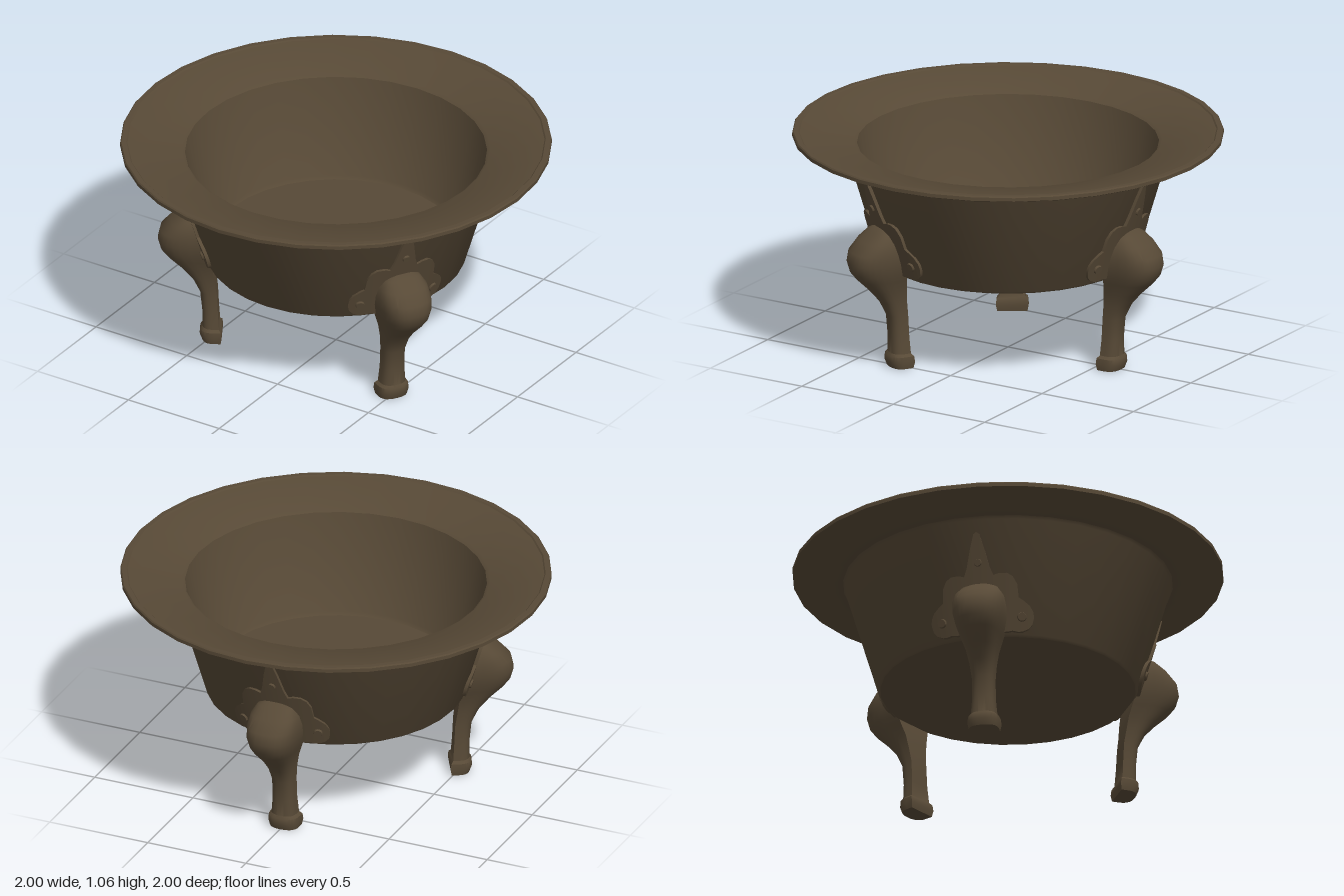
import * as THREE from 'three';
import { toCreasedNormals } from 'three/addons/utils/BufferGeometryUtils.js';

const bronze = new THREE.MeshStandardMaterial({ color: 0x574936 });
bronze.name = 'darkBronze';

// Outer radius of the bowl wall at height y
const wallRadius = (y) => 0.6 + (y - 0.46) * 0.295;

function part(name, geometry) {
  const mesh = new THREE.Mesh(geometry, bronze);
  mesh.name = name;
  return mesh;
}

// Skin a stack of closed rings and cap both ends
function loft(rings, crease) {
  const n = rings[0].length;
  const index = [];
  for (let i = 0; i < rings.length - 1; i++) {
    for (let j = 0; j < n; j++) {
      const a = i * n + j, b = i * n + ((j + 1) % n);
      index.push(a, b, b + n, a, b + n, a + n);
    }
  }
  const top = (rings.length - 1) * n;
  for (let j = 1; j < n - 1; j++) {
    index.push(0, j + 1, j, top, top + j, top + j + 1);
  }
  const g = new THREE.BufferGeometry();
  g.setAttribute('position', new THREE.Float32BufferAttribute(rings.flat(2), 3));
  g.setIndex(index);
  return toCreasedNormals(g, crease);
}

// Bowl with a sloping wide rim and hollow inside
function makeBowl() {
  const profile = [
    [0, 0.455], [0.592, 0.455], [0.602, 0.465], [0.755, 0.985], [0.765, 0.998],
    [0.99, 1.033], [1, 1.038], [1, 1.055], [0.995, 1.061], [0.972, 1.061],
    [0.966, 1.055], [0.715, 1.014], [0.7, 1.003], [0.578, 0.55], [0.565, 0.535], [0, 0.535],
  ].map(([r, y]) => new THREE.Vector2(r, y));
  return part('bowl', toCreasedNormals(new THREE.LatheGeometry(profile, 32), 0.6));
}

// Curved leg: flat inside, rounded outside. Rows: height, inner, outer, half width
function makeLeg() {
  const rows = [
    [0, 0.532, 0.62, 0.07], [0.03, 0.527, 0.632, 0.076], [0.058, 0.53, 0.63, 0.073],
    [0.07, 0.54, 0.62, 0.06], [0.15, 0.545, 0.62, 0.053], [0.25, 0.55, 0.63, 0.052],
    [0.32, 0.56, 0.665, 0.06], [0.38, 0.567, 0.717, 0.072], [0.44, 0.58, 0.78, 0.094],
    [0.48, 0.588, 0.812, 0.108], [0.53, 0.592, 0.826, 0.119], [0.58, 0.6, 0.815, 0.121],
    [0.63, 0.62, 0.765, 0.113], [0.67, 0.63, 0.715, 0.088], [0.692, 0.64, 0.68, 0.05],
  ];
  const steps = 14;
  const rings = rows.map(([y, inner, outer, w]) => {
    const mid = inner + 0.35 * (outer - inner);
    const ring = [];
    for (let k = 0; k <= steps; k++) {
      const a = -Math.PI / 2 + (Math.PI * k) / steps;
      const s = Math.sin(a), c = Math.max(0, Math.cos(a));
      ring.push([w * Math.sign(s) * Math.abs(s) ** 0.8, y, mid + (outer - mid) * c ** 0.8]);
    }
    ring.push([w, y, inner], [-w, y, inner]);
    return ring;
  });
  return part('leg', loft(rings, 0.7));
}

// Point on the bowl wall: s along the wall, y up, lift off the surface
function onWall(s, y, lift) {
  const a = s / 0.65, r = wallRadius(y) + lift;
  return [r * Math.sin(a), y, r * Math.cos(a)];
}

// Lobed mounting plate wrapped on the bowl. Rows: offset, bottom, top
function makePlate() {
  const half = [
    [0, 0.47, 0.925], [0.012, 0.47, 0.915], [0.03, 0.47, 0.85], [0.05, 0.47, 0.765],
    [0.065, 0.47, 0.727], [0.09, 0.47, 0.735], [0.125, 0.47, 0.735], [0.15, 0.475, 0.72],
    [0.17, 0.472, 0.685], [0.178, 0.47, 0.625], [0.2, 0.472, 0.612], [0.23, 0.485, 0.59],
    [0.247, 0.505, 0.565], [0.252, 0.53, 0.545],
  ];
  const rows = [...half.slice(1).reverse().map(([s, b, t]) => [-s, b, t]), ...half];
  const rings = rows.map(([s, b, t]) => [
    onWall(s, t, 0.014), onWall(s, b, 0.014), onWall(s, b, -0.015), onWall(s, t, -0.015),
  ]);
  return part('mountingPlate', loft(rings, 0.6));
}

// Small round rivet facing outward
function makeRivet(s, y, radius) {
  const g = new THREE.CylinderGeometry(radius * 0.8, radius, 0.014, 14);
  g.rotateX(Math.PI / 2 + 0.28);
  g.rotateY(s / 0.65);
  const mesh = part('rivet', toCreasedNormals(g, 0.6));
  mesh.position.set(...onWall(s, y, 0.016));
  return mesh;
}

export function createModel() {
  const model = new THREE.Group();
  model.name = 'footedBasin';
  model.add(makeBowl());

  // Three legs, one at the back and two at the front
  [Math.PI, Math.PI / 3, -Math.PI / 3].forEach((angle, i) => {
    const support = new THREE.Group();
    support.name = ['backLeg', 'frontLeftLeg', 'frontRightLeg'][i];
    support.add(makeLeg(), makePlate(), makeRivet(0, 0.785, 0.02));
    for (const side of [-1, 1]) support.add(makeRivet(side * 0.195, 0.537, 0.024));
    support.rotation.y = angle;
    model.add(support);
  });
  return model;
}
